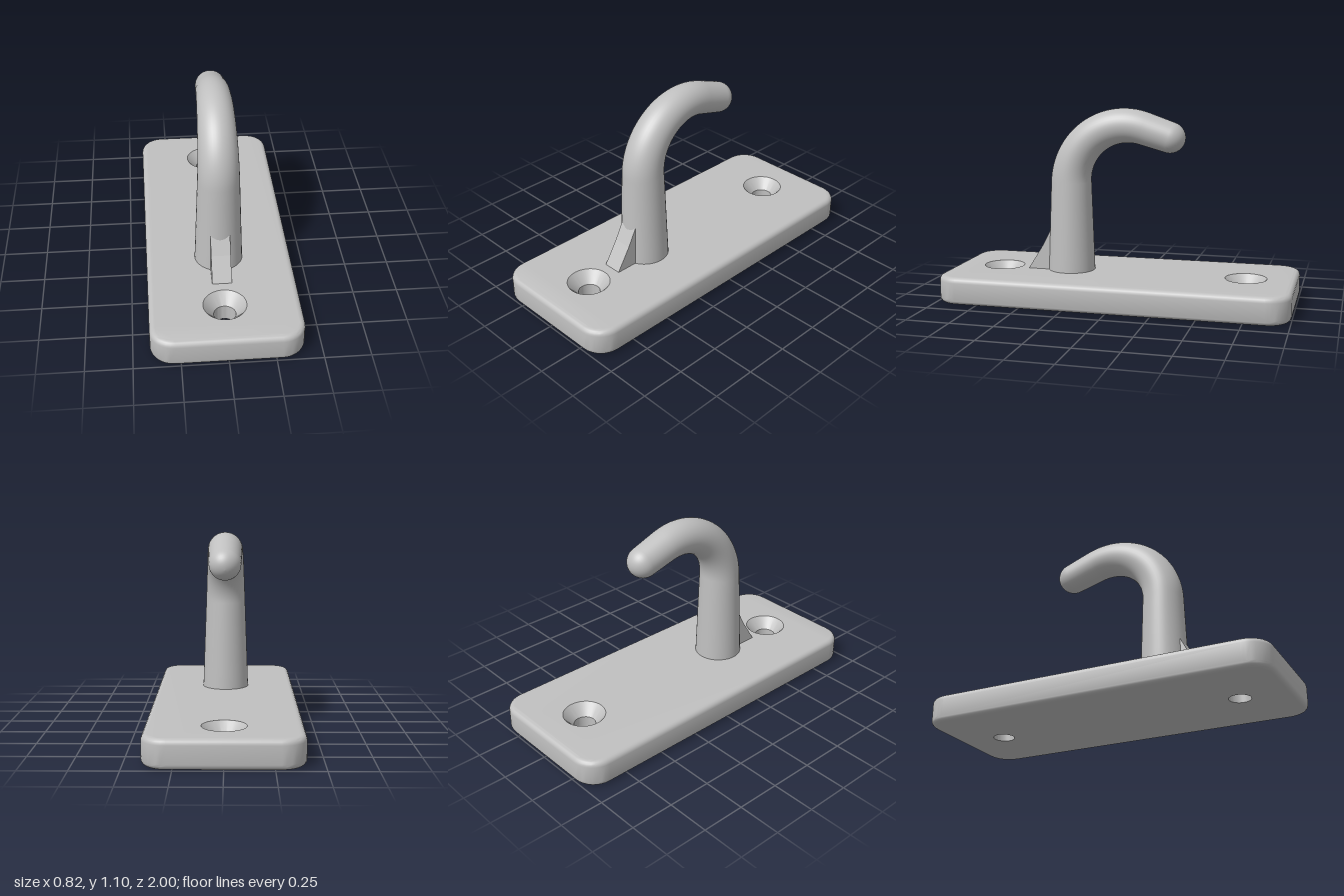
import * as THREE from 'three';
import { mergeGeometries, toCreasedNormals } from 'three/addons/utils/BufferGeometryUtils.js';

const PLATE_H = 0.155, BEVEL = 0.03, HOLE_Z = 0.72, HOLE_R = 0.06, SINK_R = 0.118;

// Skin over a list of rings, each running counter-clockwise about the direction of travel
function loft(rings) {
  const n = rings[0].length, index = [];
  for (let i = 0; i < rings.length - 1; i++) {
    for (let j = 0; j < n; j++) {
      const a = i * n + j, b = i * n + (j + 1) % n;
      index.push(a, b, b + n, a, b + n, a + n);
    }
  }
  const g = new THREE.BufferGeometry().setFromPoints(rings.flat());
  g.setIndex(index);
  g.computeVertexNormals();
  return g;
}

// Plate outline, shrunk by an inset
function outline(inset) {
  const r = 0.13 - inset, cx = 0.41 - 0.13, cy = 1 - 0.13, pts = [];
  [[1, 1], [-1, 1], [-1, -1], [1, -1]].forEach(([sx, sy], q) => {
    for (let k = 0; k <= 8; k++) {
      const a = (q + k / 8) * Math.PI / 2;
      pts.push(new THREE.Vector2(sx * cx + r * Math.cos(a), sy * cy + r * Math.sin(a)));
    }
  });
  return pts;
}

function plateFace(holeRadius) {
  const shape = new THREE.Shape(outline(BEVEL));
  for (const s of [-1, 1]) {
    const pts = [];
    for (let k = 0; k < 48; k++) {
      const a = -k / 48 * Math.PI * 2;
      pts.push(new THREE.Vector2(holeRadius * Math.cos(a), s * HOLE_Z + holeRadius * Math.sin(a)));
    }
    shape.holes.push(new THREE.Path(pts));
  }
  return new THREE.ShapeGeometry(shape);
}

function plateGeometry() {
  // Rounded rim: bottom bevel, wall, top bevel
  const profile = [];
  for (let k = 0; k <= 5; k++) {
    const a = k / 5 * Math.PI / 2;
    profile.push([BEVEL * (1 - Math.sin(a)), BEVEL * (1 - Math.cos(a))]);
  }
  const full = [...profile, ...profile.map(([i, y]) => [i, PLATE_H - y]).reverse()];
  const rim = loft(full.map(([inset, y]) => outline(inset).map(p => new THREE.Vector3(p.x, y, -p.y))));

  const top = plateFace(SINK_R).rotateX(-Math.PI / 2).translate(0, PLATE_H, 0);
  const bottom = plateFace(HOLE_R).rotateX(Math.PI / 2);

  // Countersunk screw holes
  const bore = [[SINK_R, PLATE_H], [HOLE_R, 0.09], [HOLE_R, 0]].map(p => new THREE.Vector2(...p));
  const holes = [-1, 1].map(s => new THREE.LatheGeometry(bore, 48).translate(0, 0, s * HOLE_Z));

  const parts = [rim, top, bottom, ...holes].map(g => {
    const flat = g.toNonIndexed();
    flat.deleteAttribute('uv');
    return flat;
  });
  return toCreasedNormals(mergeGeometries(parts), 0.5);
}

function hookGeometry() {
  // Centre line: upright stem, bend, straight nose; t is the angle turned from vertical
  const path = [], Z = 0.3, Y = 0.67, R = 0.33, END = THREE.MathUtils.degToRad(107.5);
  for (let k = 0; k < 6; k++) path.push([Z, 0.14 + k / 6 * (Y - 0.14), 0]);
  for (let k = 0; k <= 32; k++) {
    const t = k / 32 * END;
    path.push([Z - R + R * Math.cos(t), Y + R * Math.sin(t), t]);
  }
  const [z0, y0] = path[path.length - 1];
  for (let k = 1; k <= 4; k++) {
    const d = k / 4 * 0.157;
    path.push([z0 - d * Math.sin(END), y0 + d * Math.cos(END), END]);
  }
  // Radius tapers with the distance travelled
  const stations = [];
  let travelled = 0;
  path.forEach(([z, y, t], i) => {
    if (i) travelled += Math.hypot(z - path[i - 1][0], y - path[i - 1][1]);
    stations.push([z, y, t, 0.136 - 0.0365 * travelled]);
  });
  // Round tip
  const [tz, ty, tt, tr] = stations[stations.length - 1];
  for (let k = 1; k <= 10; k++) {
    const a = k / 10 * Math.PI / 2, d = tr * Math.sin(a);
    stations.push([tz - d * Math.sin(tt), ty + d * Math.cos(tt), tt, Math.max(tr * Math.cos(a), 0.0005)]);
  }
  const rings = stations.map(([z, y, t, r]) => {
    const ring = [];
    for (let j = 0; j < 40; j++) {
      const a = j / 40 * Math.PI * 2, b = r * Math.sin(a);
      ring.push(new THREE.Vector3(r * Math.cos(a), y - b * Math.sin(t), z - b * Math.cos(t)));
    }
    return ring;
  });
  return loft(rings);
}

// Wedge bracing the stem, drawn in the z-y plane
function braceGeometry() {
  const shape = new THREE.Shape([[0.32, 0.145], [0.55, 0.145], [0.548, 0.157], [0.468, 0.285],
    [0.405, 0.405], [0.32, 0.405]].map(p => new THREE.Vector2(...p)));
  const g = new THREE.ExtrudeGeometry(shape, { depth: 0.108, bevelEnabled: false });
  return g.translate(0, 0, -0.054).rotateY(-Math.PI / 2);
}

export function createModel() {
  const grey = new THREE.MeshStandardMaterial({ color: 0xc0c0c0 });
  grey.name = 'grey';
  const model = new THREE.Group();
  model.name = 'wallHook';
  const parts = { mountingPlate: plateGeometry(), hook: hookGeometry(), brace: braceGeometry() };
  for (const [name, geometry] of Object.entries(parts)) {
    const mesh = new THREE.Mesh(geometry, grey);
    mesh.name = name;
    model.add(mesh);
  }
  return model;
}
